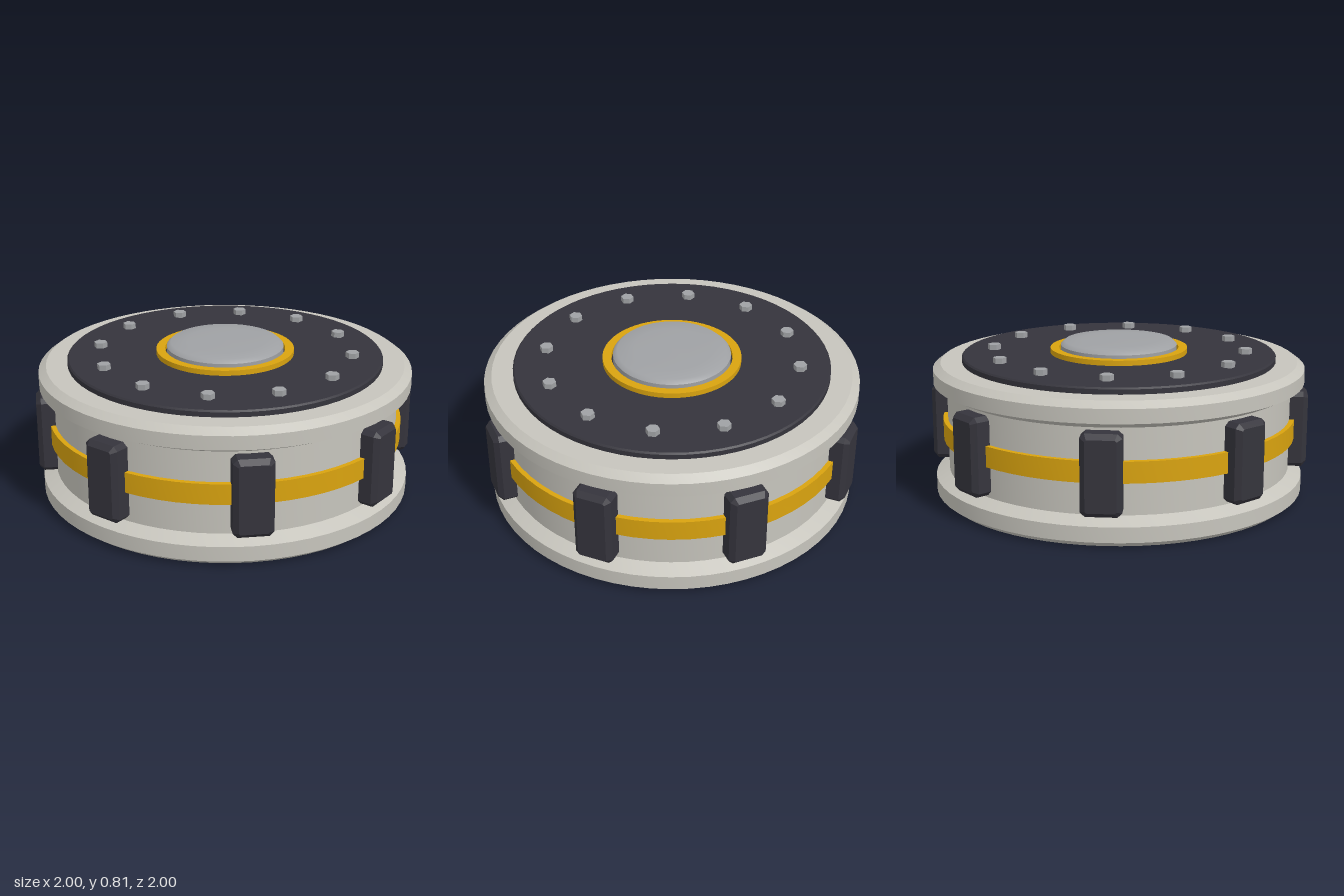
import * as THREE from 'three';
import { toCreasedNormals } from 'three/addons/utils/BufferGeometryUtils.js';

const paint = (name, color) => {
  const m = new THREE.MeshStandardMaterial({ color });
  m.name = name;
  return m;
};

// Turned part from [radius, height] pairs, with crisp chamfer edges
function turned(profile, segments = 64) {
  const points = profile.map(([r, y]) => new THREE.Vector2(r, y));
  return toCreasedNormals(new THREE.LatheGeometry(points, segments), 0.35);
}

// Chamfered block standing upright, its outer face at z = 0
function padGeometry(w, h, d, c) {
  const x = w / 2 - c, y = h / 2 - c, k = 0.008;
  const shape = new THREE.Shape([
    [x - k, -y], [x, -y + k], [x, y - k], [x - k, y],
    [-x + k, y], [-x, y - k], [-x, -y + k], [-x + k, -y],
  ].map(([a, b]) => new THREE.Vector2(a, b)));
  const geo = new THREE.ExtrudeGeometry(shape, {
    depth: d - 2 * c, bevelEnabled: true, bevelSize: c, bevelThickness: c, bevelSegments: 1,
  });
  return geo.translate(0, 0, c - d);
}

export function createModel() {
  const shell = paint('pale grey shell', 0xc6c4bc);
  const dark = paint('dark charcoal', 0x35343c);
  const yellow = paint('amber yellow', 0xd9a30f);
  const metal = paint('bolt grey', 0x9fa1a4);

  const model = new THREE.Group();
  model.name = 'roundDevice';
  const add = (name, geometry, material, parent = model) => {
    const mesh = new THREE.Mesh(geometry, material);
    mesh.name = name;
    parent.add(mesh);
    return mesh;
  };

  // Drum with flared chamfered rims at the bottom and top
  add('body', turned([
    [0, 0], [0.94, 0], [0.98, 0.03], [0.98, 0.108], [0.91, 0.143],
    [0.91, 0.573], [0.98, 0.608], [0.98, 0.68], [0.94, 0.71], [0, 0.71],
  ]), shell);

  // Stripe around the waist
  add('waistBand', turned([
    [0.9, 0.308], [0.935, 0.308], [0.935, 0.415], [0.9, 0.415],
  ]), yellow);

  // Lid plate, trim ring and centre button
  add('topPlate', turned([
    [0.8, 0.705], [0.828, 0.705], [0.828, 0.735], [0.82, 0.743], [0, 0.743],
  ]), dark);
  add('trimRing', turned([
    [0.316, 0.735], [0.362, 0.735], [0.362, 0.77], [0.316, 0.77], [0.316, 0.735],
  ]), yellow);
  add('buttonWall', turned([[0.307, 0.735], [0.307, 0.785]]), metal);
  add('buttonCap', new THREE.LatheGeometry([
    [0.307, 0.785], [0.285, 0.805], [0.2, 0.809], [0.1, 0.811], [0, 0.812],
  ].map(([r, y]) => new THREE.Vector2(r, y)), 64), metal);

  // Eight grip pads around the side
  const pads = new THREE.Group();
  pads.name = 'gripPads';
  model.add(pads);
  const padGeo = padGeometry(0.2, 0.405, 0.14, 0.025);
  for (let i = 0; i < 8; i++) {
    const a = (i / 8) * Math.PI * 2;
    const pad = add('gripPad', padGeo, dark, pads);
    pad.position.set(Math.sin(a), 0.358, Math.cos(a));
    pad.rotation.y = a;
  }

  // Twelve hexagonal bolts on the lid
  const bolts = new THREE.Group();
  bolts.name = 'bolts';
  model.add(bolts);
  const boltGeo = toCreasedNormals(
    new THREE.CylinderGeometry(0.035, 0.035, 0.035, 6).rotateY(Math.PI / 6), 0.3);
  for (let i = 0; i < 12; i++) {
    const a = (i / 12) * Math.PI * 2;
    add('bolt', boltGeo, metal, bolts).position.set(0.668 * Math.sin(a), 0.754, 0.668 * Math.cos(a));
  }
  return model;
}
